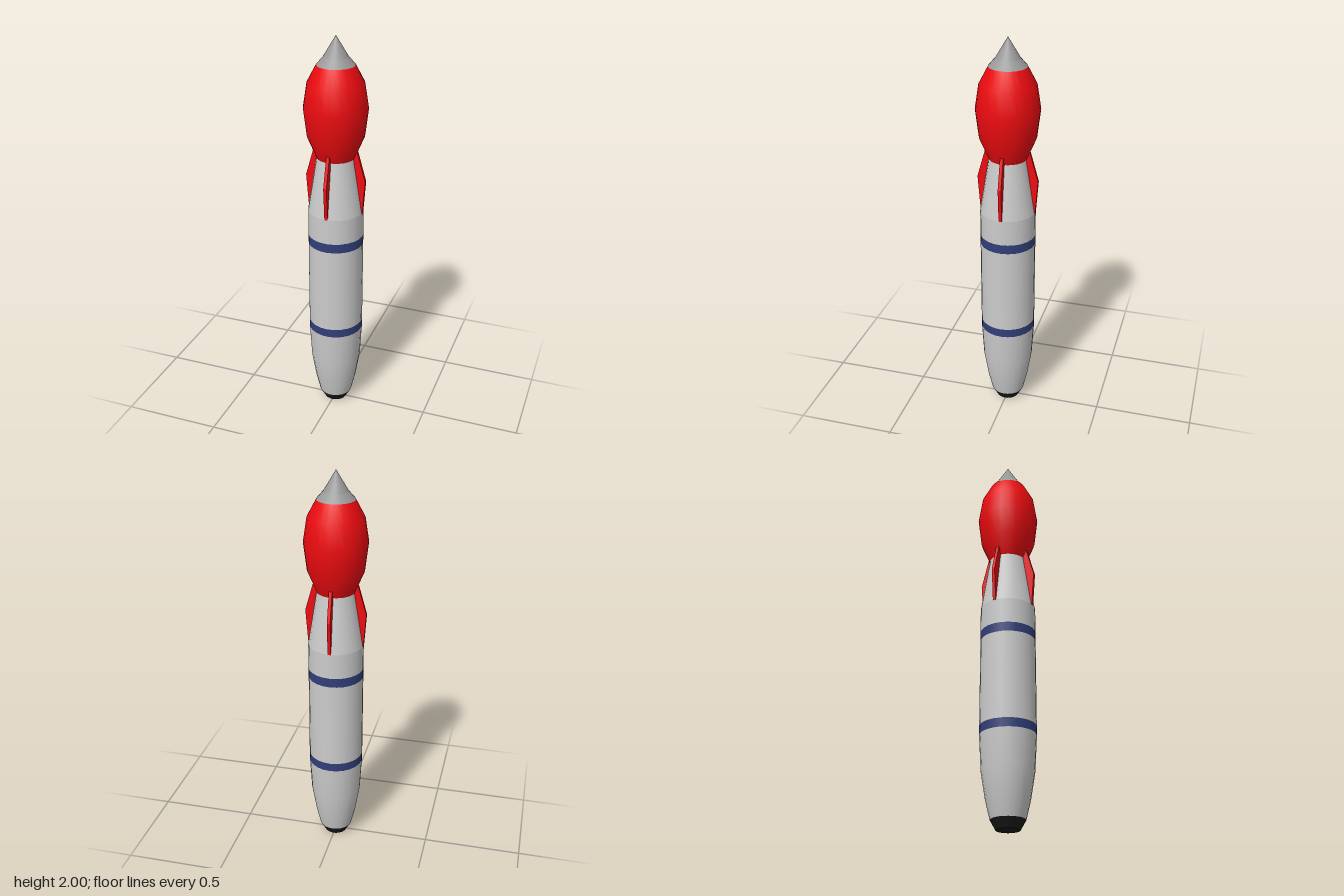
import * as THREE from 'three';

const SIDES = 24;
const grey = new THREE.MeshStandardMaterial({ color: 0xcccccc });
const noseGrey = new THREE.MeshStandardMaterial({ color: 0x999999 });
const red = new THREE.MeshStandardMaterial({ color: 0xee0b10 });
const blue = new THREE.MeshStandardMaterial({ color: 0x323f7a });
const black = new THREE.MeshStandardMaterial({ color: 0x1c1c1c });

export function createModel() {
  const group = new THREE.Group();

  const add = (name, geometry, material) => {
    const mesh = new THREE.Mesh(geometry, material);
    mesh.name = name;
    group.add(mesh);
    return mesh;
  };

  // Turned section; profile is [radius, height] from bottom to top
  const turned = (name, material, profile) =>
    add(name, new THREE.LatheGeometry(profile.map(([r, y]) => new THREE.Vector2(r, y)), SIDES), material);

  // Black end cap with its flat underside
  turned('endCap', black, [[0.058, 0], [0.085, 0.048]]);
  const base = add('endCapBase', new THREE.CircleGeometry(0.058, SIDES), black);
  base.rotation.x = Math.PI / 2;

  // Tapered tail
  turned('tail', grey, [[0.085, 0.048], [0.107, 0.14], [0.129, 0.275], [0.139, 0.455]]);

  // Straight body with two painted bands
  const R = 0.139;
  turned('lowerBand', blue, [[R, 0.455], [R, 0.5]]);
  turned('body', grey, [[R, 0.5], [R, 0.947]]);
  turned('upperBand', blue, [[R, 0.947], [R, 0.995]]);
  turned('upperBody', grey, [[R, 0.995], [R, 1.125]]);

  // Neck narrowing up to the head
  turned('neck', grey, [[R, 1.125], [0.094, 1.405]]);

  // Bulbous red head
  turned('head', red, [[0.094, 1.405], [0.14, 1.515], [0.157, 1.655], [0.138, 1.777], [0.093, 1.862]]);

  // Nose collar and pointed tip
  turned('noseCollar', noseGrey, [[0.093, 1.862], [0.06, 1.9]]);
  turned('noseTip', noseGrey, [[0.06, 1.9], [0, 2]]);

  // Four thin fins around the neck
  const t = 0.016;
  const outline = [[0.13, 1.125], [0.141, 1.125], [0.154, 1.295], [0.112, 1.443], [0.08, 1.443], [0.08, 1.405]];
  const finShape = new THREE.Shape(outline.map(([x, y]) => new THREE.Vector2(x, y)));
  const finGeometry = new THREE.ExtrudeGeometry(finShape, { depth: t, bevelEnabled: false }).translate(0, 0, -t / 2);
  for (let i = 0; i < 4; i++) {
    add('fin', finGeometry, red).rotation.y = (i * Math.PI) / 2;
  }

  return group;
}
